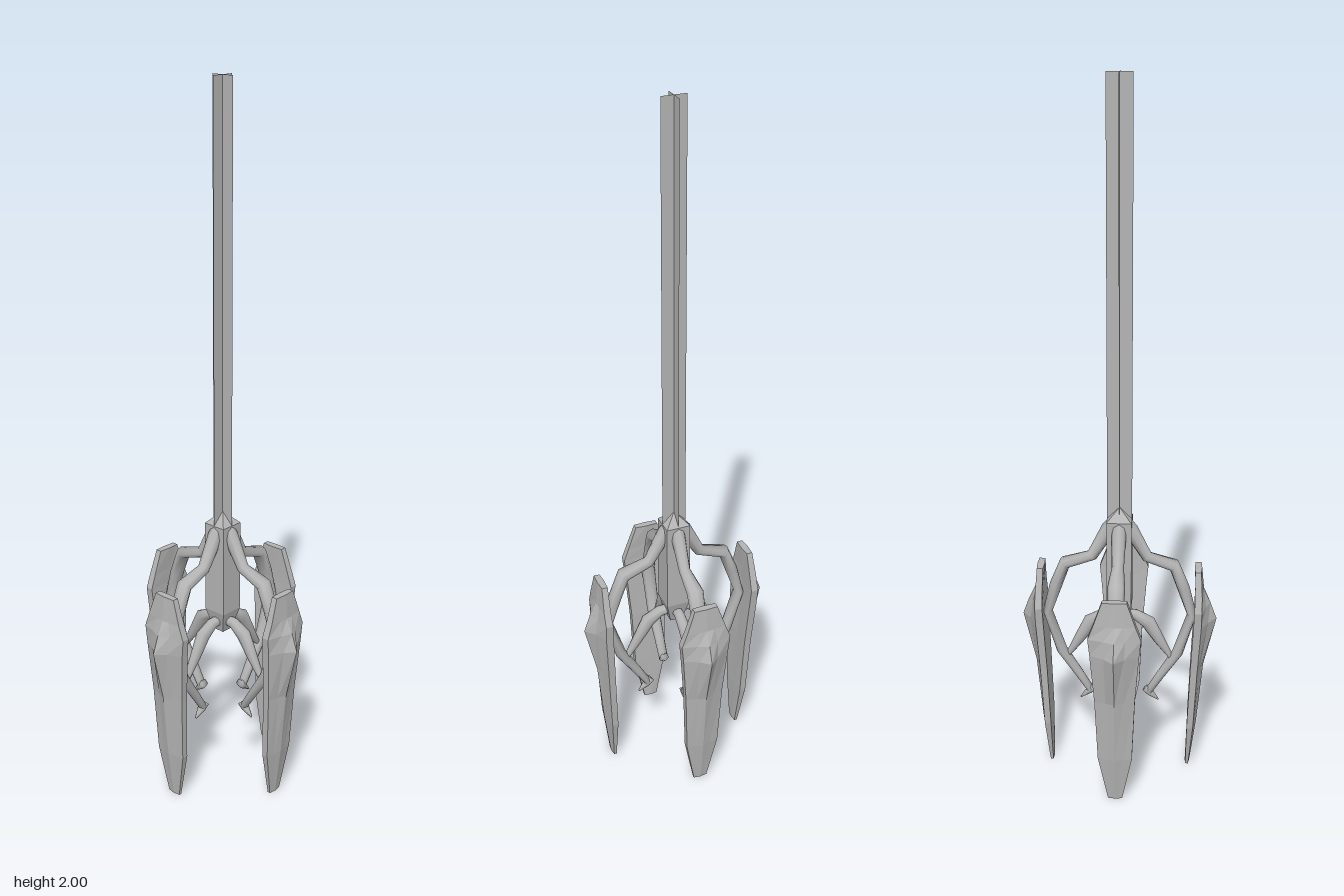
import * as THREE from 'three';

// Skin a list of equal-sized rings, with a fan cap at both ends
function loft(rings, flat) {
  const n = rings[0].length, index = [];
  rings.slice(1).forEach((_, i) => {
    for (let j = 0; j < n; j++) {
      const k = (j + 1) % n, a = i * n + j, b = i * n + k;
      index.push(a, b, b + n, a, b + n, a + n);
    }
  });
  const last = (rings.length - 1) * n;
  for (let j = 1; j < n - 1; j++) index.push(0, j + 1, j, last, last + j, last + j + 1);
  const g = new THREE.BufferGeometry();
  g.setAttribute('position', new THREE.Float32BufferAttribute(rings.flat(2), 3));
  g.setIndex(index);
  return finish(g, flat);
}

function finish(g, flat) {
  const out = flat ? g.toNonIndexed() : g;
  out.computeVertexNormals();
  return out;
}

// Limb in the radial plane; each point is [radius, height, half depth, half width]
function limb(points, sides = 8) {
  const rings = points.map(([r, y, h, w], i) => {
    const p = points[Math.max(i - 1, 0)], q = points[Math.min(i + 1, points.length - 1)];
    const t = new THREE.Vector2(q[0] - p[0], q[1] - p[1]).normalize();
    return Array.from({ length: sides }, (_, j) => {
      const a = (j / sides) * Math.PI * 2, c = Math.cos(a) * h;
      return [r - t.y * c, y + t.x * c, Math.sin(a) * w];
    });
  });
  return loft(rings, false);
}

// Shield sections, bottom to top:
// [height, half width, inner centre, edge inner, edge outer, mid half width, mid, ridge]
const shieldSections = [
  [0, 0.02, 0.195, 0.197, 0.205, 0.01, 0.206, 0.208],
  [0.14, 0.048, 0.199, 0.199, 0.217, 0.022, 0.221, 0.226],
  [0.33, 0.056, 0.208, 0.206, 0.226, 0.025, 0.234, 0.243],
  [0.48, 0.068, 0.217, 0.213, 0.235, 0.028, 0.254, 0.278],
  [0.53, 0.073, 0.218, 0.215, 0.236, 0.03, 0.247, 0.26],
  [0.57, 0.058, 0.217, 0.216, 0.236, 0.022, 0.239, 0.241],
  [0.64, 0.034, 0.213, 0.215, 0.232, 0.015, 0.233, 0.234],
];

function shield() {
  return loft(shieldSections.map(([y, w, rin, ei, eo, mw, rm, ridge]) => [
    [rin, y, 0], [ei, y, w], [eo, y, w], [rm, y, mw],
    [ridge, y, 0], [rm, y, -mw], [eo, y, -w], [ei, y, -w],
  ]), true);
}

export function createModel() {
  const model = new THREE.Group();
  const grey = new THREE.MeshStandardMaterial({ color: 0xb4b4b4, side: THREE.DoubleSide });
  grey.name = 'plain grey';
  const add = (parent, geometry, name) => {
    const mesh = new THREE.Mesh(geometry, grey);
    mesh.name = name;
    parent.add(mesh);
    return mesh;
  };

  // Hanging pole: two crossed strips
  for (const turn of [0, Math.PI / 2]) {
    const strip = add(model, new THREE.PlaneGeometry(0.07, 1.28), 'poleStrip');
    strip.position.y = 1.36;
    strip.rotation.y = turn;
  }

  // Square hub with a pointed cap and tapered foot
  const profile = [[0, 0.45], [0.018, 0.455], [0.035, 0.52], [0.035, 0.785], [0, 0.82]]
    .map(([r, y]) => new THREE.Vector2(r * Math.SQRT2, y));
  add(model, finish(new THREE.LatheGeometry(profile, 4, Math.PI / 4), true), 'hub');

  // Four matching claws around the hub
  const armGeometry = limb([
    [0.0, 0.79, 0.02, 0.02], [0.03, 0.755, 0.022, 0.021], [0.078, 0.67, 0.017, 0.017],
    [0.155, 0.645, 0.018, 0.025], [0.182, 0.575, 0.018, 0.022], [0.207, 0.49, 0.014, 0.021],
    [0.168, 0.365, 0.016, 0.019], [0.12, 0.29, 0.013, 0.016], [0.086, 0.235, 0.011, 0.014],
  ]);
  const hookGeometry = limb([
    [0.076, 0.243, 0.012, 0.014], [0.09, 0.228, 0.011, 0.012], [0.114, 0.206, 0.002, 0.003],
  ], 6);
  const strutGeometry = limb([
    [0.0, 0.49, 0.014, 0.014], [0.045, 0.485, 0.016, 0.016], [0.082, 0.462, 0.022, 0.018],
    [0.115, 0.405, 0.016, 0.014], [0.152, 0.345, 0.007, 0.009],
  ]);
  const shieldGeometry = shield();
  for (let i = 0; i < 4; i++) {
    const claw = new THREE.Group();
    claw.name = 'claw';
    claw.rotation.y = (i * Math.PI) / 2;
    add(claw, armGeometry, 'arm');
    add(claw, hookGeometry, 'hook');
    add(claw, strutGeometry, 'strut');
    add(claw, shieldGeometry, 'shield');
    model.add(claw);
  }
  return model;
}
